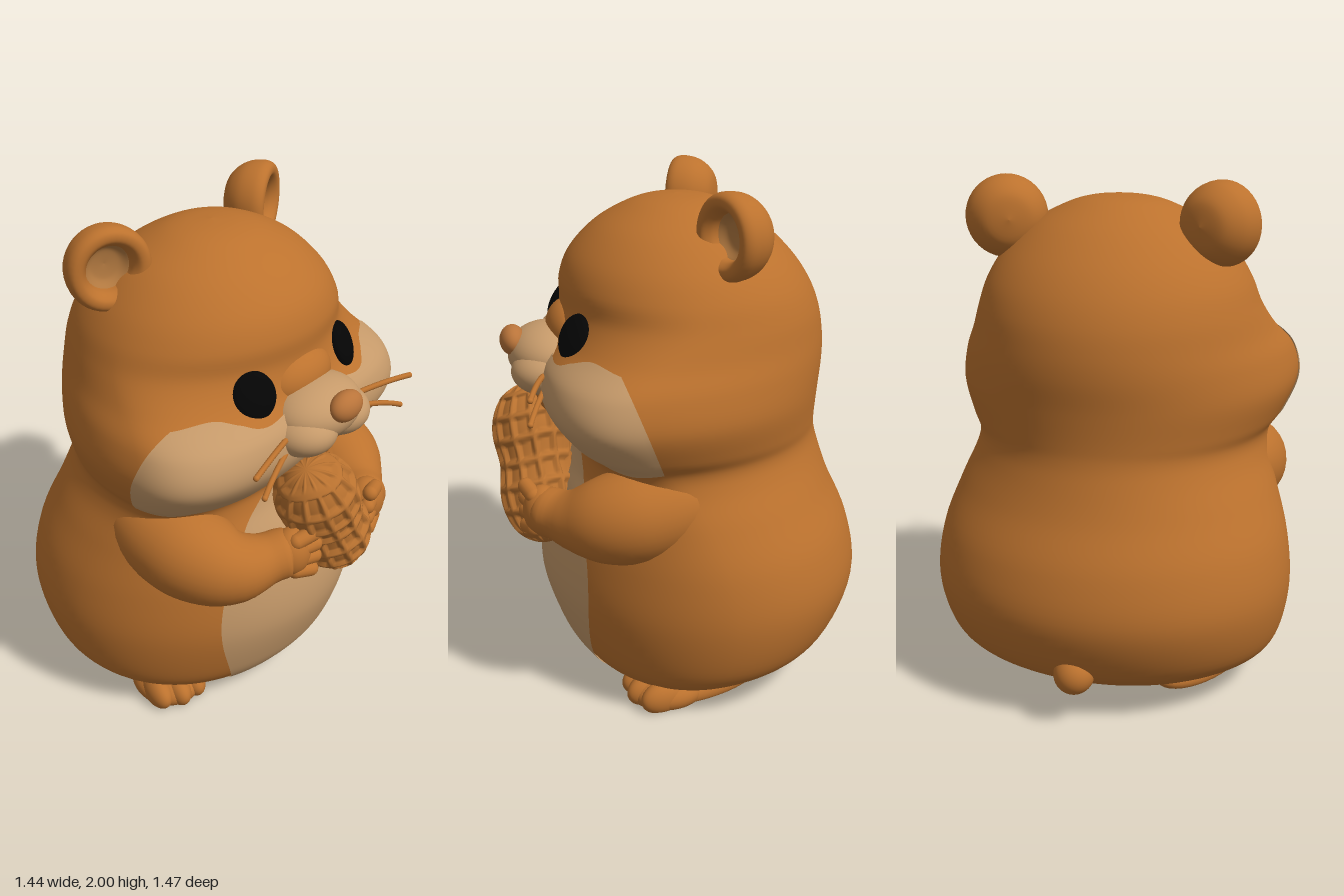
import * as THREE from 'three';

const mat = (name, color, side = THREE.FrontSide) => {
  const m = new THREE.MeshStandardMaterial({ color, side });
  m.name = name;
  return m;
};

// Smooth surface from fn(u, v) -> [x, y, z]; u runs around, v runs along
function grid(fn, nu, nv, wrap) {
  const pos = [], idx = [], cols = wrap ? nu : nu + 1;
  for (let j = 0; j <= nv; j++)
    for (let i = 0; i < cols; i++) pos.push(...fn(i / nu, j / nv));
  for (let j = 0; j < nv; j++)
    for (let i = 0; i < nu; i++) {
      const k = (i + 1) % cols, a = j * cols + i, b = j * cols + k, c = b + cols, d = a + cols;
      idx.push(a, b, c, a, c, d);
    }
  const g = new THREE.BufferGeometry();
  g.setAttribute('position', new THREE.Float32BufferAttribute(pos, 3));
  g.setIndex(idx);
  g.computeVertexNormals();
  return g;
}

// Smooth curve through [x, y] pairs
function curveAt(pts, x) {
  let i = 0;
  while (i < pts.length - 2 && x > pts[i + 1][0]) i++;
  const slope = k => {
    const a = pts[Math.max(k - 1, 0)], b = pts[Math.min(k + 1, pts.length - 1)];
    return (b[1] - a[1]) / (b[0] - a[0]);
  };
  const [x0, y0] = pts[i], [x1, y1] = pts[i + 1], h = x1 - x0, t = (x - x0) / h;
  const w = t * t * (3 - 2 * t);
  return y0 * (1 - w) + y1 * w + h * t * (1 - t) * (slope(i) * (1 - t) - slope(i + 1) * t);
}

// Body sections: height, half width, front z, back z, z of widest point, front squareness
const SECTIONS = [
  [0.03, 0, 0, 0, 0, 2], [0.033, 0.36, 0.28, -0.28, 0, 2], [0.06, 0.48, 0.37, -0.4, 0, 2],
  [0.12, 0.6, 0.43, -0.53, -0.03, 2], [0.22, 0.68, 0.49, -0.65, -0.08, 1.95],
  [0.42, 0.72, 0.55, -0.73, -0.1, 1.9], [0.62, 0.7, 0.54, -0.7, -0.08, 1.9],
  [0.8, 0.642, 0.48, -0.62, -0.02, 2], [0.93, 0.592, 0.42, -0.575, 0.04, 2.2],
  [1.01, 0.586, 0.41, -0.555, 0.09, 2.5], [1.08, 0.63, 0.475, -0.552, 0.14, 2.8],
  [1.2, 0.675, 0.545, -0.56, 0.18, 3.1], [1.32, 0.655, 0.54, -0.573, 0.17, 2.8],
  [1.42, 0.6, 0.48, -0.57, 0.09, 2.2], [1.52, 0.555, 0.452, -0.55, 0.02, 1.95],
  [1.62, 0.515, 0.45, -0.505, 0, 2], [1.72, 0.45, 0.41, -0.43, 0, 2],
  [1.82, 0.345, 0.315, -0.32, 0, 2], [1.89, 0.215, 0.195, -0.2, 0, 2],
  [1.92, 0.115, 0.1, -0.11, 0, 2], [1.93, 0, 0, 0, 0, 2],
];
const LAST = SECTIONS.length - 1;

function section(t) {
  const i = Math.min(Math.floor(t), LAST - 1), f = t - i;
  const at = k => SECTIONS[THREE.MathUtils.clamp(k, 0, LAST)];
  const [p, q, r, s] = [at(i - 1), at(i), at(i + 1), at(i + 2)];
  return q.map((b, k) => b + 0.5 * f * (r[k] - p[k]
    + f * (2 * p[k] - 5 * b + 4 * r[k] - s[k] + f * (3 * (b - r[k]) + s[k] - p[k]))));
}

function sectionAt(y) {
  let lo = 1, hi = LAST;
  for (let n = 0; n < 30; n++) {
    const mid = (lo + hi) / 2;
    if (section(mid)[0] < y) lo = mid; else hi = mid;
  }
  return section(lo);
}

// Point on a section at angle a (0 = front, positive toward +x), pushed out by off
function ringPoint([y, w, zf, zb, zc, p], a, off = 0) {
  const s = Math.sin(a), c = Math.cos(a), e = c > 0 ? 2 / p : 1;
  const x = w * Math.sign(s) * Math.abs(s) ** e;
  const z = zc + (c > 0 ? (zf - zc) * c ** e : (zc - zb) * c);
  return [x + off * s, y, z + off * c];
}

function angleOfX([, w, , , , p], x) {
  return Math.sign(x) * Math.asin(Math.min(1, Math.abs(x) / w) ** (p / 2));
}

// Tapered limb along a curve, radius given by [t, r] pairs
function limb(points, radii) {
  const n = 36, curve = new THREE.CatmullRomCurve3(points.map(p => new THREE.Vector3(...p)));
  const fr = curve.computeFrenetFrames(n);
  return grid((u, v) => {
    const j = Math.round(v * n), a = u * Math.PI * 2, r = curveAt(radii, v);
    return curve.getPointAt(v).addScaledVector(fr.normals[j], r * Math.cos(a))
      .addScaledVector(fr.binormals[j], r * Math.sin(a)).toArray();
  }, 32, n, true);
}

export function createModel() {
  const model = new THREE.Group();
  model.name = 'hamster';
  const fur = mat('fur brown', 0xbc722e), cream = mat('cream', 0xc69a6a, THREE.DoubleSide);
  const black = mat('eye black', 0x050505), shell = mat('shell brown', 0xb8712f);
  const noseMat = mat('nose brown', 0xb9743a), earMat = mat('inner ear tan', 0xb27940);

  const add = (name, geo, material, pos = [0, 0, 0], parent = model) => {
    const m = new THREE.Mesh(geo, material);
    m.name = name;
    m.position.set(...pos);
    parent.add(m);
    return m;
  };
  const ball = (name, material, pos, radii, parent) =>
    add(name, new THREE.SphereGeometry(1, 36, 24).scale(...radii), material, pos, parent);

  // Body and head in one skin
  add('body', grid((u, v) => ringPoint(section(v * LAST), u * Math.PI * 2), 96, LAST * 6, true), fur);

  // Belly patch, continued underneath
  const bellyWidth = [[0.035, 0.25], [0.2, 0.345], [0.45, 0.42], [0.7, 0.375], [0.88, 0.27], [1.0, 0.14]];
  add('belly', grid((u, v) => {
    const y = 0.035 + v * 0.965, s = sectionAt(y), a = angleOfX(s, curveAt(bellyWidth, y));
    return ringPoint(s, a * (2 * u - 1), 0.006);
  }, 40, 70), cream);
  add('bellyUnderside', new THREE.CircleGeometry(1, 40).rotateX(Math.PI / 2).scale(0.31, 1, 0.26),
    cream, [0, 0.022, 0.02]);

  // Cheek patch wrapping round the face
  const top = [[0, 1.42], [0.13, 1.395], [0.27, 1.368], [0.5, 1.395], [0.75, 1.418], [1, 1.4]];
  const bottom = [[0, 1.18], [0.15, 1.11], [0.3, 1.06], [0.5, 1.025], [0.75, 1.01], [1, 1.03]];
  add('cheeks', grid((u, v) => {
    const k = 2 * u - 1, y = THREE.MathUtils.lerp(curveAt(bottom, Math.abs(k)), curveAt(top, Math.abs(k)), v);
    const s = sectionAt(y), edge = 0.15 + 0.385 * (y - 1.02);
    const limit = Math.acos(Math.max(0, (edge - s[4]) / (s[2] - s[4])) ** (s[5] / 2));
    return ringPoint(s, k * limit, 0.006);
  }, 100, 30), cream);

  // Brow bridge, muzzle, chin and nose
  ball('browBridge', fur, [0, 1.43, 0.41], [0.17, 0.11, 0.1]);
  ball('muzzleBridge', cream, [0, 1.335, 0.5], [0.2, 0.114, 0.16]);
  ball('chin', fur, [0, 1.18, 0.47], [0.15, 0.1, 0.09]);
  ball('nose', noseMat, [0, 1.385, 0.638], [0.08, 0.058, 0.05]);

  for (const side of [-1, 1]) {
    ball('muzzle', cream, [side * 0.1, 1.287, 0.525], [0.13, 0.09, 0.13]);

    // Eye, laid on the face
    const s = sectionAt(1.46), a = angleOfX(s, side * 0.26);
    const eye = ball('eye', black, ringPoint(s, a, 0.002), [0.082, 0.09, 0.034]);
    eye.rotation.set(-0.4, side * 0.45, -side * 0.15, 'YXZ');

    // Whiskers
    for (const [y0, y1, x1] of [[1.31, 1.3, 0.47], [1.26, 1.19, 0.42]]) {
      const path = new THREE.QuadraticBezierCurve3(
        new THREE.Vector3(side * 0.18, y0 - 0.01, 0.53),
        new THREE.Vector3(side * 0.32, (y0 + y1) / 2 + 0.015, 0.575),
        new THREE.Vector3(side * x1, y1, 0.61));
      add('whisker', new THREE.TubeGeometry(path, 12, 0.011, 8), fur);
      ball('whiskerTip', fur, [side * x1, y1, 0.61], [0.011, 0.011, 0.011]);
    }

    // Cupped ear
    const ear = new THREE.Group();
    ear.name = 'ear';
    ear.position.set(side * 0.425, 1.843, -0.105);
    ear.rotation.y = side * 0.42;
    model.add(ear);
    const lathe = pts => new THREE.LatheGeometry(
      new THREE.SplineCurve(pts.map(p => new THREE.Vector2(...p))).getPoints(40), 40).rotateX(Math.PI / 2);
    add('earShell', lathe([[0, -0.15], [0.09, -0.132], [0.144, -0.075], [0.159, -0.005], [0.145, 0.032],
      [0.113, 0.036], [0.09, 0.01], [0.083, -0.02]]), fur, [0, 0, 0], ear);
    add('innerEar', lathe([[0.084, -0.02], [0.055, -0.042], [0, -0.05]]), earMat, [0, 0, 0], ear);

    // Arm and fingers
    const hx = side > 0 ? 0.285 : -0.2, hy = side > 0 ? 0.79 : 0.81;
    add('arm', limb([[side * 0.38, 0.92, -0.16], [side * 0.445, 0.85, 0.08], [side * 0.45, 0.81, 0.3],
      [side * 0.38, 0.785, 0.45], [hx, hy, 0.57], [hx - side * 0.03, hy, 0.62]],
    [[0, 0.04], [0.18, 0.15], [0.45, 0.185], [0.63, 0.165], [0.83, 0.1], [0.94, 0.085], [1, 0]]), fur);
    ball('hand', fur, [hx, hy, 0.57], [0.085, 0.1, 0.075]);
    for (let i = 0; i < 4; i++) {
      const f = add('finger', new THREE.CapsuleGeometry(0.031, 0.07, 8, 16).rotateZ(Math.PI / 2), fur,
        [hx - side * (i % 3 ? 0.035 : 0.02), hy + 0.075 - i * 0.05, 0.615]);
      f.rotation.set(0, side * 0.35, side * (i - 1.5) * 0.14);
    }

    // Flat-soled foot with three toes
    const foot = new THREE.Group();
    foot.name = 'foot';
    foot.position.set(side * 0.37, 0, -0.01);
    foot.rotation.y = side * 0.35;
    model.add(foot);
    const flat = (name, pos, radii) => {
      const m = ball(name, fur, [pos[0], 0, pos[2]], radii, foot), p = m.geometry.attributes.position;
      for (let i = 0; i < p.count; i++) p.setY(i, Math.max(0.005, p.getY(i) + pos[1]));
      m.geometry.computeVertexNormals();
    };
    flat('sole', [0, 0.03, -0.02], [0.135, 0.08, 0.29]);
    flat('instep', [0, 0.04, 0.13], [0.142, 0.083, 0.16]);
    for (const k of [-1, 0, 1]) flat('toe', [k * 0.077, 0.05, 0.205 - 0.02 * Math.abs(k)], [0.053, 0.07, 0.105]);
  }

  // Tail
  ball('tail', fur, [0, 0.21, -0.63], [0.078, 0.078, 0.08]);

  // Peanut with a net of raised ribs
  const ridge = x => THREE.MathUtils.smoothstep(Math.abs(Math.cos(x)), 0.85, 0.97);
  const peanut = add('peanut', grid((u, v) => {
    const y = -0.322 * Math.cos(v * Math.PI), a = u * Math.PI * 2, t = Math.abs(y) / 0.322;
    const base = (0.156 + 0.02 * y - 0.024 * Math.exp(-((y / 0.1) ** 2))) * Math.sqrt(Math.max(0, 1 - t ** 2.8));
    const rib = Math.max(ridge(a * 6 + Math.sin(y * 9) * 0.4), ridge(y * Math.PI / 0.092 + 0.4 * Math.sin(a * 2)));
    const r = base + 0.016 * rib * Math.min(1, base / 0.1);
    return [r * Math.sin(a), y, r * Math.cos(a)];
  }, 144, 110, true), shell, [0.01, 0.875, 0.565]);
  peanut.rotation.set(0.05, 0, 0.5);

  return model;
}
